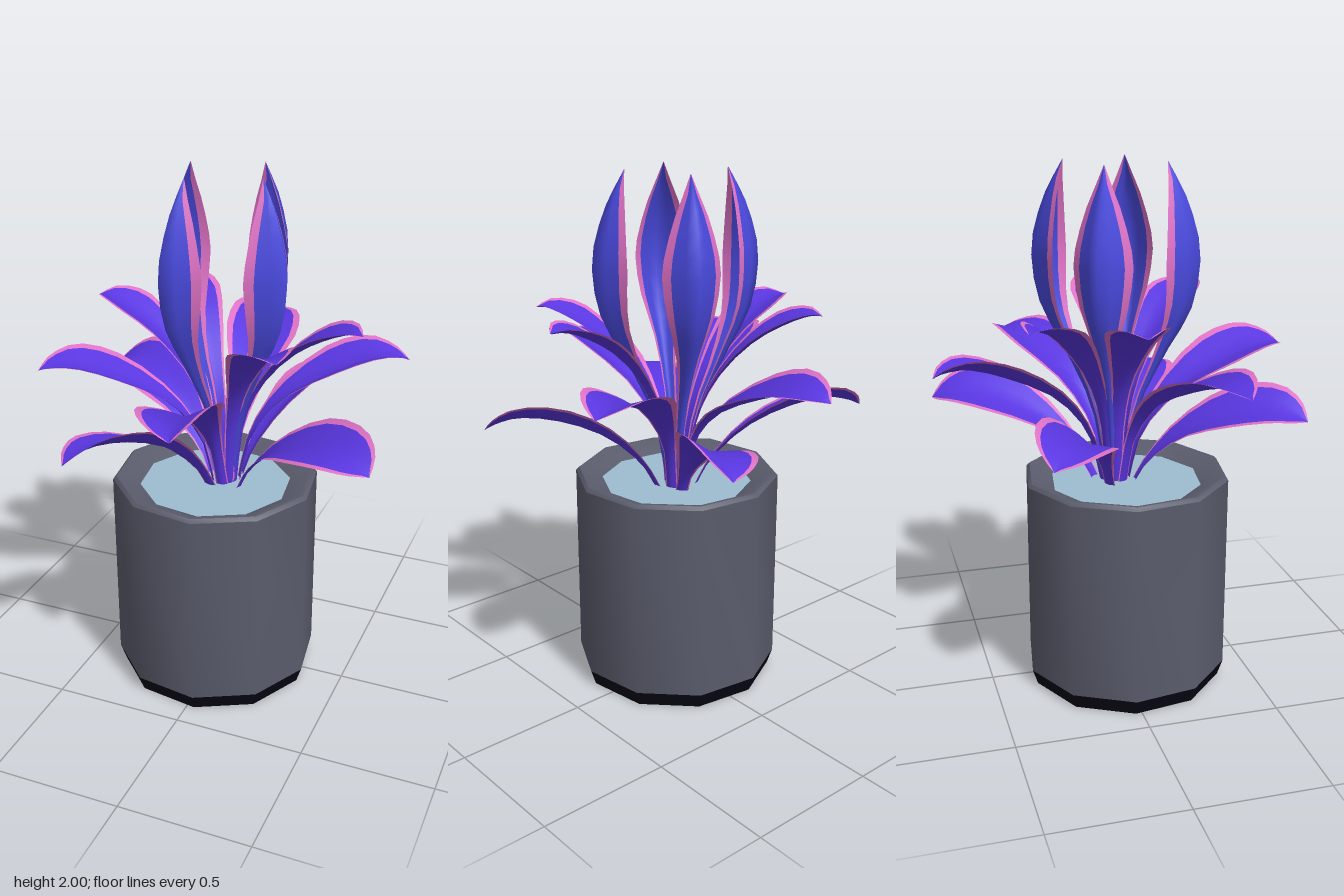
import * as THREE from 'three';
import { toCreasedNormals } from 'three/addons/utils/BufferGeometryUtils.js';

const mat = (name, color, side = THREE.FrontSide) => {
  const m = new THREE.MeshStandardMaterial({ color, side });
  m.name = name;
  return m;
};

// One strip of a leaf that grows along +x. Rows of the profile are [reach, height, half width];
// the section is a V with the given fold, rolled about the spine; bow bends the spine sideways.
function leafStrip({ profile, fold, margin }, roll, bow, from, to, columns) {
  const curve = new THREE.CatmullRomCurve3(profile.map((p) => new THREE.Vector3(...p)));
  const rows = 14, pos = [], index = [];
  for (let i = 0; i <= rows; i++) {
    const t = i / rows;
    const p = curve.getPoint(t), d = curve.getTangent(t);
    const len = Math.hypot(d.x, d.y), tx = d.x / len, ty = d.y / len;
    const w = Math.max(p.z, 0.001);
    const blade = 1 - margin - 0.6 * t ** 12; // the margin widens at the tip
    const a = from(blade), b = to(blade);
    for (let j = 0; j <= columns; j++) {
      const u = a + (b - a) * j / columns;
      const s = u * w * Math.cos(fold), n = Math.abs(u) * w * Math.sin(fold);
      const side = s * Math.cos(roll) - n * Math.sin(roll) + bow * Math.sin(Math.PI * t);
      const up = s * Math.sin(roll) + n * Math.cos(roll);
      pos.push(p.x - ty * up, p.y + tx * up, side);
    }
  }
  const k = columns + 1;
  for (let i = 0; i < rows; i++) {
    for (let j = 0; j < columns; j++) {
      const q = i * k + j;
      index.push(q, q + 1, q + k, q + 1, q + k + 1, q + k);
    }
  }
  const g = new THREE.BufferGeometry();
  g.setAttribute('position', new THREE.Float32BufferAttribute(pos, 3));
  g.setIndex(index);
  g.computeVertexNormals();
  return g;
}

export function createModel() {
  const potGrey = mat('pot grey', 0x5a5c6c);
  const baseBlack = mat('base black', 0x060614);
  const soilBlue = mat('pale blue soil', 0x9cbdd0);
  const leafPurple = mat('leaf purple', 0x5936e0, THREE.DoubleSide);
  const leafBlue = mat('leaf blue', 0x4a4ae0, THREE.DoubleSide);
  const marginPink = mat('margin pink', 0xdf72c6, THREE.DoubleSide);

  const model = new THREE.Group();
  model.name = 'pottedPlant';

  // Ten-sided pot with a sloping inner wall, base and soil
  const pot = new THREE.Group();
  pot.name = 'pot';
  pot.position.set(-0.03, 0, 0.035);
  const turned = (name, points, material) => {
    const lathe = new THREE.LatheGeometry(points.map((p) => new THREE.Vector2(...p)), 10, Math.PI / 20);
    const mesh = new THREE.Mesh(toCreasedNormals(lathe, 0.7), material);
    mesh.name = name;
    pot.add(mesh);
  };
  turned('potBase', [[0, 0], [0.375, 0], [0.395, 0.06]], baseBlack);
  turned('potWall', [[0.395, 0.06], [0.395, 0.825], [0.382, 0.838], [0.37, 0.838], [0.27, 0.79]], potGrey);
  turned('soil', [[0.291, 0.8], [0, 0.8]], soilBlue);
  model.add(pot);

  // Leaf tiers; leaves are [azimuth in degrees from +x towards +z, roll, bow]
  const tiers = [
    { name: 'lowLeaf', fold: 0.27, margin: 0.18, color: leafPurple,
      leaves: [[26, -0.33, 0], [119, -0.33, 0], [210.5, 0.33, 0], [-64, 0.33, 0]],
      profile: [[0.07, 0.77, 0.025], [0.13, 0.88, 0.03], [0.27, 1.01, 0.08], [0.45, 1.09, 0.14],
        [0.6, 1.115, 0.128], [0.68, 1.1, 0.075], [0.725, 1.08, 0]] },
    { name: 'middleLeaf', fold: 0.33, margin: 0.18, color: leafPurple,
      leaves: [[83, -0.15, 0.035], [154, 0, 0], [262, -0.15, 0.035], [-27, 0, -0.015]],
      profile: [[0.05, 0.77, 0.025], [0.1, 0.98, 0.03], [0.22, 1.13, 0.075], [0.42, 1.235, 0.148],
        [0.56, 1.28, 0.138], [0.65, 1.28, 0.075], [0.695, 1.27, 0]] },
    { name: 'highLeaf', fold: 0.3, margin: 0.18, color: leafPurple,
      leaves: [[5, 0, 0], [50, 0, 0], [183, 0, 0], [227, 0, 0]],
      profile: [[0.04, 0.77, 0.02], [0.075, 1.05, 0.028], [0.15, 1.22, 0.045], [0.28, 1.365, 0.09],
        [0.4, 1.44, 0.118], [0.49, 1.475, 0.075], [0.535, 1.475, 0]] },
    { name: 'uprightLeaf', fold: Math.PI / 4, margin: 0.24, color: leafBlue,
      leaves: [[26, 0, 0], [116, 0, 0], [206, 0, 0], [296, 0, 0]],
      profile: [[0.035, 0.77, 0.02], [0.09, 1.08, 0.028], [0.19, 1.3, 0.055], [0.285, 1.48, 0.122],
        [0.312, 1.68, 0.15], [0.265, 1.86, 0.095], [0.19, 2.0, 0]] },
  ];

  for (const tier of tiers) {
    for (const [azimuth, roll, bow] of tier.leaves) {
      const leaf = new THREE.Group();
      leaf.name = tier.name;
      leaf.rotation.y = -THREE.MathUtils.degToRad(azimuth);
      const strip = (part, material, from, to, columns) => {
        const mesh = new THREE.Mesh(leafStrip(tier, roll, bow, from, to, columns), material);
        mesh.name = part;
        leaf.add(mesh);
      };
      strip('blade', tier.color, (e) => -e, (e) => e, 4);
      strip('margin', marginPink, () => -1, (e) => -e, 1);
      strip('margin', marginPink, (e) => e, () => 1, 1);
      model.add(leaf);
    }
  }
  return model;
}
